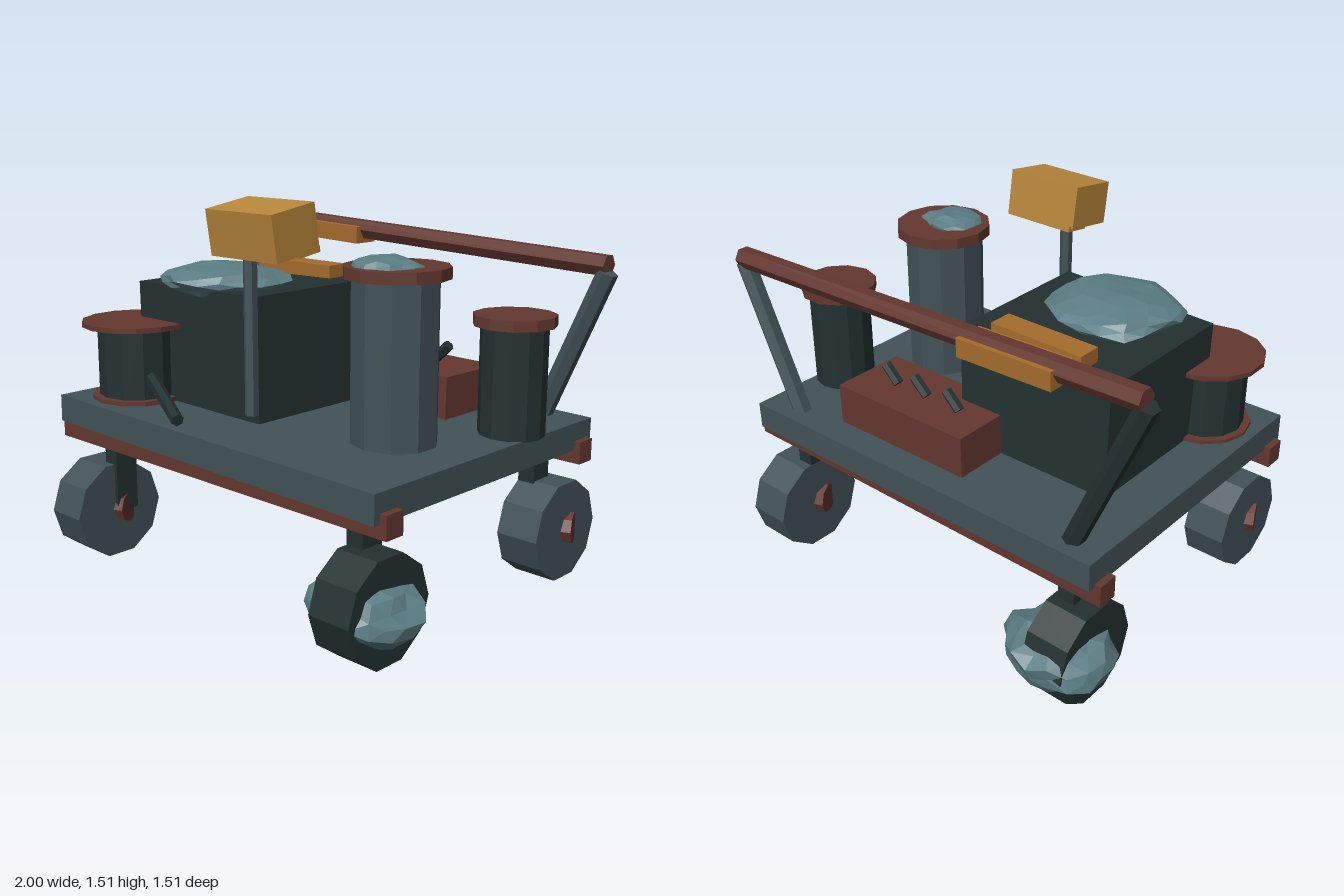
import * as THREE from 'three';

const mat = (name, color) => {
  const m = new THREE.MeshStandardMaterial({ color });
  m.name = name;
  return m;
};

export function createModel() {
  const slate = mat('slate', 0x425257);
  const dark = mat('dark iron', 0x243131);
  const rust = mat('rust', 0x643830);
  const crystalTeal = mat('crystal teal', 0x5b7d84);
  const gold = mat('gold', 0xb8863a);
  const orange = mat('orange', 0xa66c2d);

  const model = new THREE.Group();
  model.name = 'utilityCart';

  // Faceted mesh: unshared corners give one normal per face
  const add = (name, geometry, material, pos = [0, 0, 0], rot = [0, 0, 0]) => {
    const g = geometry.index ? geometry.toNonIndexed() : geometry;
    g.computeVertexNormals();
    const mesh = new THREE.Mesh(g, material);
    mesh.name = name;
    mesh.position.set(...pos);
    mesh.rotation.set(...rot);
    model.add(mesh);
    return mesh;
  };
  const box = (name, size, material, pos, rot) =>
    add(name, new THREE.BoxGeometry(...size), material, pos, rot);
  // Upright cylinder between two heights
  const drum = (name, r, sides, x, z, y0, y1, material) =>
    add(name, new THREE.CylinderGeometry(r, r, y1 - y0, sides), material, [x, (y0 + y1) / 2, z]);
  // Straight rod between two points
  const rod = (name, a, b, r, sides, material) => {
    const from = new THREE.Vector3(...a), to = new THREE.Vector3(...b);
    const dir = to.clone().sub(from);
    const mesh = add(name, new THREE.CylinderGeometry(r, r, dir.length(), sides), material);
    mesh.position.copy(from).add(to).multiplyScalar(0.5);
    mesh.quaternion.setFromUnitVectors(new THREE.Vector3(0, 1, 0), dir.normalize());
    return mesh;
  };
  // Rough crystal lump: jittered icosphere squashed to the given radii
  const crystal = (name, pos, radii, seed) => {
    const g = new THREE.IcosahedronGeometry(1, 2);
    const p = g.attributes.position;
    const v = new THREE.Vector3();
    for (let i = 0; i < p.count; i++) {
      v.fromBufferAttribute(p, i);
      const key = [v.x, v.y, v.z].map((n) => Math.round(n * 1000));
      const h = Math.sin(key[0] * 0.129 + key[1] * 0.782 + key[2] * 0.377 + seed) * 437.58;
      const s = 0.86 + 0.2 * (h - Math.floor(h));
      p.setXYZ(i, v.x * s * radii[0], v.y * s * radii[1], v.z * s * radii[2]);
    }
    return add(name, g, crystalTeal, pos);
  };

  // Deck and under-rails
  box('deck', [1.715, 0.11, 1.275], slate, [0.022, 0.6, 0.032], [0, 0, -0.014]);
  box('frontRail', [1.77, 0.088, 0.083], rust, [0.022, 0.527, 0.6]);
  box('backRail', [1.77, 0.088, 0.083], rust, [0.022, 0.527, -0.533]);

  // Wheels and wheel posts
  const wheels = [
    { name: 'frontRight', x: -0.715, z: 0.55, post: -0.645, color: slate, hub: true },
    { name: 'backRight', x: -0.715, z: -0.51, post: -0.685, color: dark },
    { name: 'frontLeft', x: 0.758, z: 0.55, post: 0.705, color: dark },
    { name: 'backLeft', x: 0.758, z: -0.51, post: 0.705, color: slate, hub: true },
  ];
  for (const w of wheels) {
    add(w.name + 'Wheel', new THREE.CylinderGeometry(0.204, 0.204, 0.18, 10), w.color,
      [w.x, 0.195, w.z], [0, 0, Math.PI / 2]);
    if (w.hub) {
      add(w.name + 'Hub', new THREE.CylinderGeometry(0.065, 0.065, 0.22, 8), rust,
        [w.x, 0.197, w.z], [0, Math.PI / 8, Math.PI / 2]);
    }
    box(w.name + 'Post', [0.072, 0.36, 0.1], dark, [w.post, 0.37, w.z > 0 ? 0.52 : -0.485]);
  }
  crystal('backWheelCrystal', [-0.68, 0.19, -0.555], [0.23, 0.13, 0.205], 1);
  crystal('frontWheelCrystal', [0.742, 0.18, 0.545], [0.215, 0.14, 0.205], 5);

  // Cargo box with its block and crystal
  box('cargoBox', [0.695, 0.485, 0.65], dark, [-0.296, 0.892, 0.065], [0, 0, 0.02]);
  box('cargoBlock', [0.415, 0.06, 0.1], orange, [-0.292, 1.16, -0.19]);
  crystal('cargoCrystal', [-0.315, 1.155, 0.22], [0.27, 0.065, 0.26], 3);

  // Wide pot with base ring, broad lid and lever
  drum('potBase', 0.19, 12, -0.61, 0.44, 0.65, 0.68, rust);
  drum('pot', 0.16, 12, -0.61, 0.44, 0.66, 0.965, dark);
  drum('potLid', 0.222, 14, -0.61, 0.44, 0.962, 0.982, rust);
  rod('lever', [-0.46, 0.768, 0.49], [-0.135, 0.682, 0.63], 0.025, 6, dark);

  // Tall barrel
  drum('tallBarrel', 0.162, 10, 0.55, 0.19, 0.645, 1.25, slate);
  drum('tallBarrelLid', 0.195, 12, 0.55, 0.185, 1.245, 1.288, rust);
  crystal('barrelCrystal', [0.535, 1.272, 0.225], [0.14, 0.056, 0.13], 8);

  // Small barrel
  drum('smallBarrel', 0.126, 12, 0.78, -0.21, 0.64, 1.055, dark);
  drum('smallBarrelLid', 0.156, 11, 0.78, -0.21, 1.052, 1.092, rust);

  // Control console with leaning switches
  box('console', [0.65, 0.175, 0.315], rust, [0.18, 0.733, -0.326], [0, 0, -0.015]);
  [0.02, 0.19, 0.345].forEach((x, i) =>
    rod('switch' + (i + 1), [x - 0.033, 0.835, -0.345], [x + 0.033, 0.898, -0.345], 0.022, 6, dark));

  // Lamp on its pole
  rod('lampPole', [0.178, 0.745, 0.54], [0.178, 1.34, 0.54], 0.026, 6, slate);
  box('lamp', [0.335, 0.17, 0.21], gold, [0.178, 1.408, 0.48], [0.155, 0, 0]);
  box('lampLip', [0.315, 0.022, 0.11], gold, [0.178, 1.333, 0.405], [0.155, 0, 0]);

  // Push handle
  rod('rightHandlePost', [-0.975, 1.305, -0.525], [-0.69, 0.64, -0.52], 0.04, 6, dark);
  rod('leftHandlePost', [0.965, 1.23, -0.525], [0.7, 0.62, -0.52], 0.04, 6, slate);
  rod('handleBar', [-0.97, 1.325, -0.53], [0.965, 1.253, -0.53], 0.043, 6, rust);
  box('handleGrip', [0.41, 0.072, 0.12], orange, [-0.435, 1.283, -0.525], [0, 0, -0.037]);

  return model;
}
